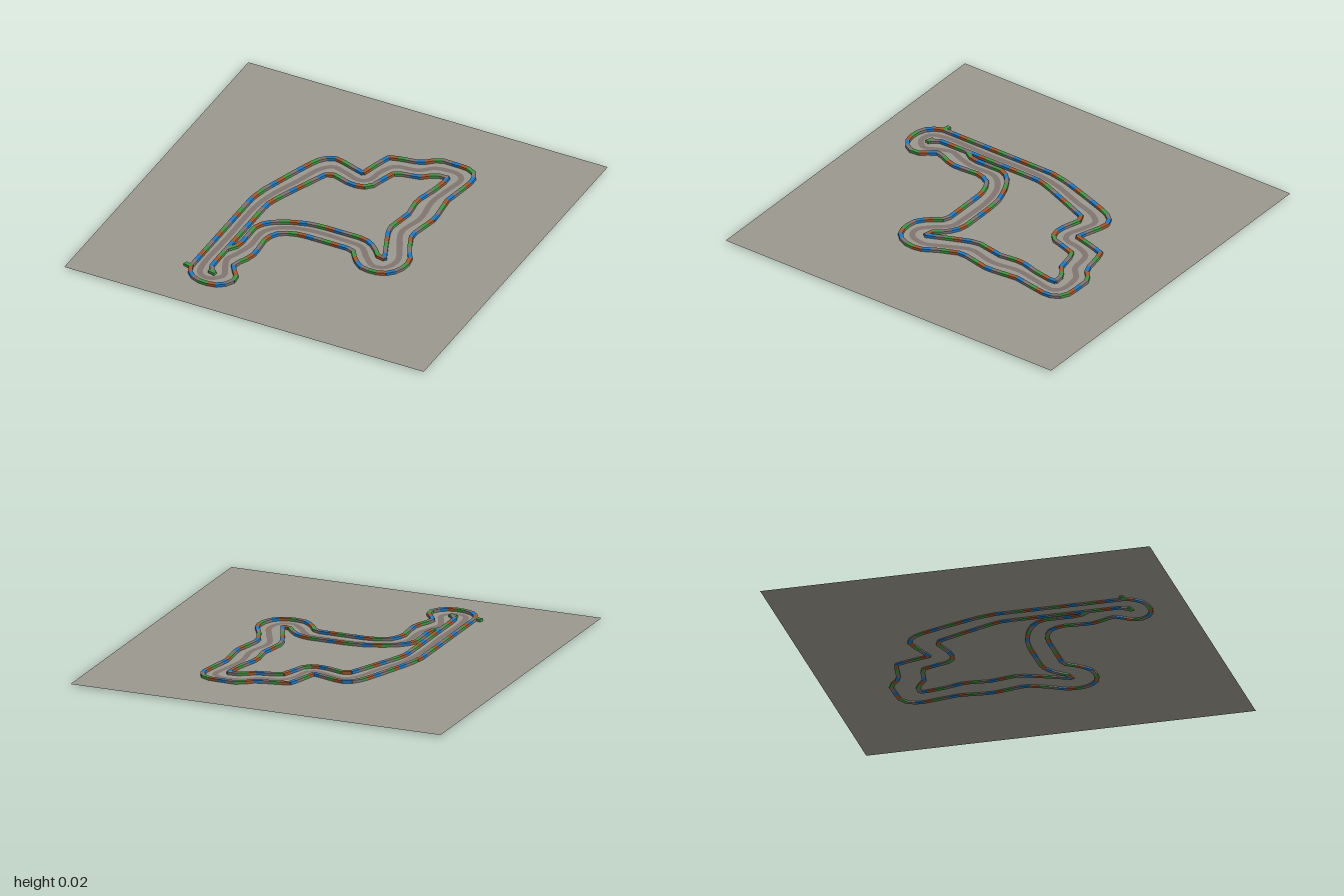
import * as THREE from 'three';
import { mergeGeometries } from 'three/addons/utils/BufferGeometryUtils.js';

const GROUND_Y = 0.007, WALL_HEIGHT = 0.021, WALL_WIDTH = 0.022, BLOCK = 0.047;

// Paths as [x, z] corners
const outerPath = [
  [-0.44, 0.71], [-0.44, 0.05], [-0.42, -0.05], [-0.36, -0.23], [-0.31, -0.37], [-0.28, -0.42],
  [-0.22, -0.445], [-0.17, -0.43], [-0.05, -0.39], [-0.03, -0.47], [0, -0.57], [0.05, -0.585],
  [0.17, -0.605], [0.2, -0.64], [0.25, -0.668], [0.39, -0.665], [0.44, -0.64], [0.465, -0.59],
  [0.46, -0.54], [0.43, -0.37], [0.448, -0.2], [0.41, -0.02], [0.45, 0.08], [0.5, 0.17],
  [0.508, 0.23], [0.49, 0.29], [0.44, 0.34], [0.38, 0.353], [0.31, 0.34], [0.26, 0.3],
  [0.21, 0.225], [-0.07, 0.225], [-0.13, 0.235], [-0.19, 0.27], [-0.22, 0.33], [-0.208, 0.48],
  [-0.225, 0.54], [-0.26, 0.61], [-0.23, 0.655], [-0.195, 0.7], [-0.195, 0.745], [-0.23, 0.795],
  [-0.28, 0.815], [-0.35, 0.81], [-0.41, 0.785], [-0.44, 0.72],
];
const innerPath = [
  [-0.32, 0.71], [-0.35, 0.67], [-0.35, 0.07], [-0.33, 0], [-0.27, -0.15], [-0.21, -0.295],
  [-0.18, -0.315], [-0.06, -0.278], [0, -0.28], [0.04, -0.31], [0.06, -0.38], [0.09, -0.465],
  [0.22, -0.49], [0.28, -0.54], [0.35, -0.545], [0.33, -0.42], [0.297, -0.3], [0.312, -0.18],
  [0.287, -0.04], [0.295, 0.01], [0.34, 0.12], [0.385, 0.225], [0.35, 0.225], [0.31, 0.175],
  [0.26, 0.13], [0.2, 0.115], [-0.02, 0.115], [-0.1, 0.125], [-0.2, 0.16], [-0.28, 0.21],
  [-0.312, 0.26], [-0.31, 0.45], [-0.345, 0.5],
];
const centrePath = [
  [-0.395, 0.69], [-0.395, 0.4], [-0.395, 0.1], [-0.37, -0.03], [-0.31, -0.19], [-0.26, -0.33],
  [-0.21, -0.38], [-0.14, -0.365], [-0.04, -0.335], [0, -0.36], [0.02, -0.45], [0.06, -0.52],
  [0.18, -0.545], [0.25, -0.6], [0.37, -0.605], [0.405, -0.57], [0.385, -0.45], [0.365, -0.33],
  [0.38, -0.18], [0.35, -0.03], [0.4, 0.09], [0.445, 0.2], [0.42, 0.28], [0.36, 0.297],
  [0.3, 0.25], [0.23, 0.175], [0.15, 0.165], [-0.08, 0.168], [-0.2, 0.21], [-0.26, 0.28],
  [-0.265, 0.42], [-0.29, 0.51], [-0.312, 0.57], [-0.29, 0.64], [-0.262, 0.71], [-0.31, 0.76],
  [-0.37, 0.75],
];

function material(name, color, side = THREE.FrontSide) {
  const m = new THREE.MeshStandardMaterial({ color, side });
  m.name = name;
  return m;
}

// One box standing between two points of a wall
function block(x1, z1, x2, z2) {
  const length = Math.hypot(x2 - x1, z2 - z1) + 0.004;
  const box = new THREE.BoxGeometry(length, WALL_HEIGHT, WALL_WIDTH);
  box.rotateY(-Math.atan2(z2 - z1, x2 - x1));
  return box.translate((x1 + x2) / 2, WALL_HEIGHT / 2, (z1 + z2) / 2);
}

// A wall of short blocks whose colours take turns
function createWall(name, path, paints, extra) {
  const curve = new THREE.CurvePath();
  for (let i = 1; i < path.length; i++) {
    curve.add(new THREE.LineCurve(new THREE.Vector2(...path[i - 1]), new THREE.Vector2(...path[i])));
  }
  const points = curve.getSpacedPoints(Math.round(curve.getLength() / BLOCK));
  const sets = paints.map(() => []);
  for (let i = 1; i < points.length; i++) {
    const a = points[i - 1], b = points[i];
    sets[i % paints.length].push(block(a.x, a.y, b.x, b.y));
  }
  sets[0].push(block(...extra));
  const wall = new THREE.Group();
  wall.name = name;
  paints.forEach((paint, i) => {
    const mesh = new THREE.Mesh(mergeGeometries(sets[i]), paint);
    mesh.name = `${name} ${paint.name} blocks`;
    wall.add(mesh);
  });
  return wall;
}

// Flat closed ribbon following a smooth curve
function ribbon(path, width, y, steps) {
  const curve = new THREE.CatmullRomCurve3(path.map(([x, z]) => new THREE.Vector3(x, y, z)), true);
  const positions = [], normals = [], index = [];
  for (let i = 0; i <= steps; i++) {
    const p = curve.getPointAt((i / steps) % 1), t = curve.getTangentAt((i / steps) % 1);
    for (const s of [-0.5, 0.5]) {
      positions.push(p.x - t.z * s * width, y, p.z + t.x * s * width);
      normals.push(0, 1, 0);
    }
    if (i < steps) index.push(2 * i, 2 * i + 1, 2 * i + 2, 2 * i + 1, 2 * i + 3, 2 * i + 2);
  }
  const g = new THREE.BufferGeometry();
  g.setAttribute('position', new THREE.Float32BufferAttribute(positions, 3));
  g.setAttribute('normal', new THREE.Float32BufferAttribute(normals, 3));
  g.setIndex(index);
  return g;
}

export function createModel() {
  const model = new THREE.Group();
  model.name = 'race track';
  const paints = [
    material('green', 0x439343), material('grey', 0x7d7472),
    material('blue', 0x1f78c0), material('brown', 0xa0582f),
  ];

  // Ground sheet
  const ground = new THREE.Mesh(
    new THREE.PlaneGeometry(2, 2).rotateX(-Math.PI / 2).translate(0, GROUND_Y, 0),
    material('ground', 0x9a978e, THREE.DoubleSide));
  ground.name = 'ground';
  model.add(ground);

  // Driving line in the middle of the road
  const line = new THREE.Mesh(ribbon(centrePath, 0.03, GROUND_Y + 0.002, 240), material('driving line', 0x80746f));
  line.name = 'driving line';
  model.add(line);

  // Walls, each with a block turned across its start
  model.add(createWall('outer wall', outerPath, paints, [-0.475, 0.71, -0.435, 0.72]));
  model.add(createWall('inner wall', innerPath, paints, [-0.34, 0.71, -0.305, 0.72]));
  return model;
}
